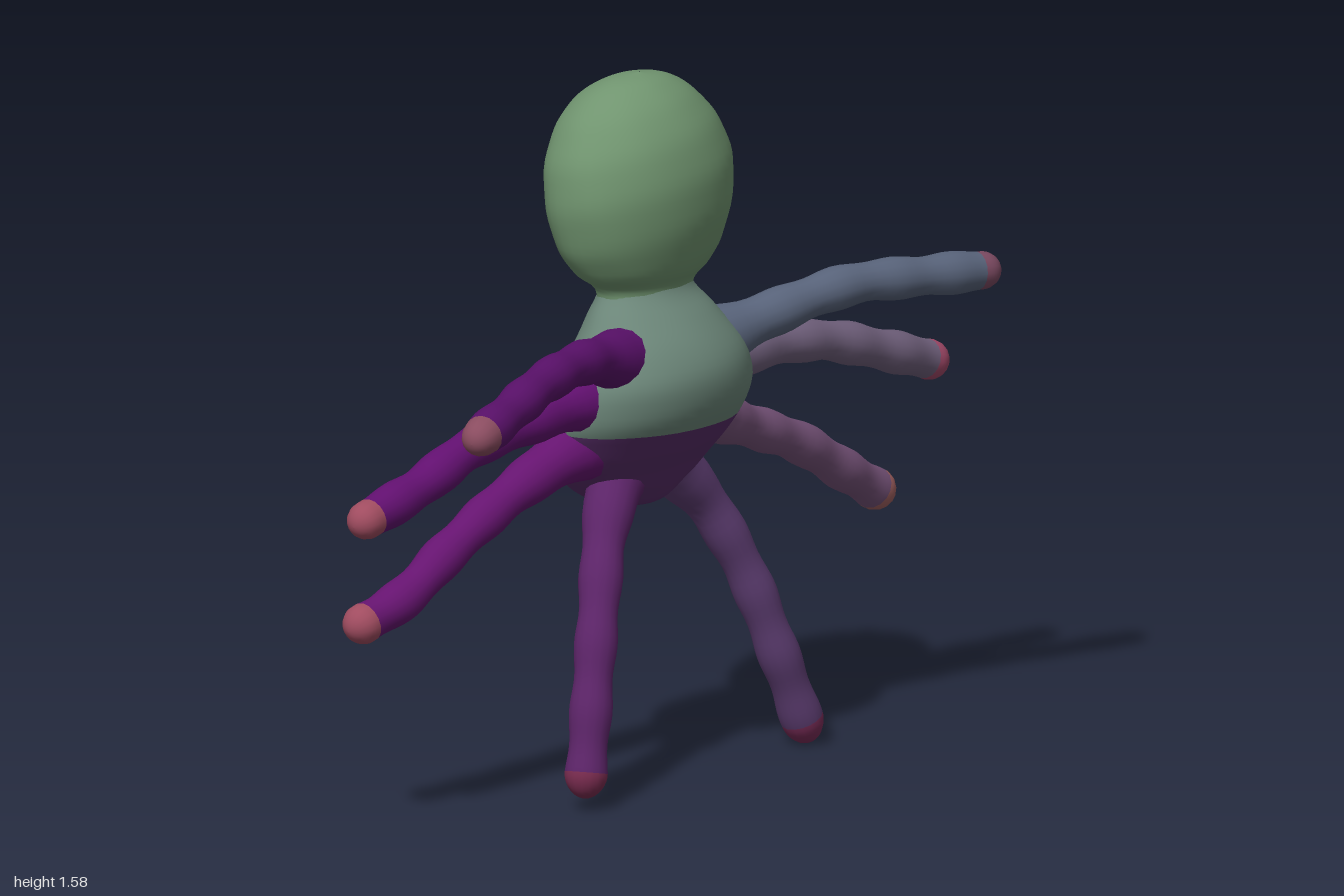
import * as THREE from 'three';

// Closed skin over rings of points; shared vertices keep it smooth
function skin(rings) {
  const cols = rings[0].length, index = [];
  for (let i = 0; i < rings.length - 1; i++) {
    for (let j = 0; j < cols; j++) {
      const a = i * cols + j, b = i * cols + (j + 1) % cols;
      index.push(a, b, a + cols, b, b + cols, a + cols);
    }
  }
  const geo = new THREE.BufferGeometry().setFromPoints(rings.flat());
  geo.setIndex(index);
  geo.computeVertexNormals();
  return geo;
}

// The band of a skin between two fractions of its length
function band(geo, from, to, rings, name, color) {
  const all = Array.from(geo.index.array), step = all.length / (rings - 1);
  const part = geo.clone();
  part.setIndex(all.slice(Math.round(from * (rings - 1)) * step, Math.round(to * (rings - 1)) * step));
  const mesh = new THREE.Mesh(part, new THREE.MeshStandardMaterial({ color }));
  mesh.name = name;
  return mesh;
}

// Upright rounded volume from rows of [y, half width, front z, back z]
const BODY_RINGS = 45;
function bulb(rows) {
  const shape = new THREE.CatmullRomCurve3(rows.map(([y, w, f, b]) => new THREE.Vector3(w, y, (f - b) / 2)));
  const middle = new THREE.CatmullRomCurve3(rows.map(([y, , f, b]) => new THREE.Vector3(0, y, (f + b) / 2)));
  const rings = [];
  for (let i = 0; i < BODY_RINGS; i++) {
    const t = i / (BODY_RINGS - 1), s = shape.getPoint(t), c = middle.getPoint(t), ring = [];
    for (let j = 0; j < 40; j++) {
      const a = j / 40 * Math.PI * 2;
      const lump = 1 + 0.008 * Math.sin(3 * a + i * 0.7) * Math.sin(5 * a - i * 0.4);
      ring.push(new THREE.Vector3(s.x * Math.sin(a) * lump, s.y, c.z + s.z * Math.cos(a) * lump));
    }
    rings.push(ring);
  }
  return skin(rings);
}

// Lumpy limb with a flared root and a rounded tip
const LEG_RINGS = 49;
function limb(points, phase) {
  const path = new THREE.CatmullRomCurve3(points.map(p => new THREE.Vector3(...p)));
  const length = path.getLength(), frames = path.computeFrenetFrames(200), rings = [];
  for (let i = 0; i < LEG_RINGS; i++) {
    const u = Math.sin(i / (LEG_RINGS - 1) * Math.PI / 2), left = (1 - u) * length;
    const k = Math.round(u * 200), c = path.getPointAt(u);
    let r = 0.046 + 0.035 * Math.exp(-u * 9) + 0.003 * Math.sin(u * 32 + phase);
    const q = Math.min(1, left / (r * 1.2));
    r *= Math.sqrt(Math.max(1e-5, 1 - (1 - q) ** 2));
    const ring = [];
    for (let j = 0; j < 16; j++) {
      const a = j / 16 * Math.PI * 2;
      ring.push(c.clone().addScaledVector(frames.normals[k], r * Math.cos(a))
        .addScaledVector(frames.binormals[k], r * Math.sin(a)));
    }
    rings.push(ring);
  }
  return skin(rings);
}

export function createModel() {
  const model = new THREE.Group();
  model.name = 'octopus';

  // Egg-shaped head, narrowing to the neck
  const head = bulb([
    [1.06, 0.13, 0.04, -0.13], [1.11, 0.135, 0.035, -0.14], [1.15, 0.185, 0.06, -0.18],
    [1.21, 0.225, 0.085, -0.215], [1.3, 0.249, 0.105, -0.238], [1.39, 0.244, 0.104, -0.245],
    [1.47, 0.208, 0.08, -0.23], [1.53, 0.155, 0.04, -0.195], [1.57, 0.085, -0.01, -0.135],
    [1.585, 0.001, -0.065, -0.067]]);
  model.add(band(head, 0, 1, BODY_RINGS, 'head', 0x70946f));

  // Body leaning backward toward its underside
  const torso = bulb([
    [0.605, 0.001, -0.099, -0.101], [0.615, 0.08, -0.03, -0.17], [0.65, 0.145, 0.005, -0.215],
    [0.7, 0.2, 0.04, -0.238], [0.77, 0.245, 0.095, -0.242], [0.84, 0.266, 0.14, -0.225],
    [0.91, 0.255, 0.158, -0.2], [0.98, 0.22, 0.14, -0.175], [1.05, 0.17, 0.085, -0.15],
    [1.1, 0.13, 0.04, -0.135], [1.13, 0.12, 0.03, -0.135]]);
  model.add(band(torso, 0, 0.46, BODY_RINGS, 'belly', 0x562c66));
  model.add(band(torso, 0.46, 1, BODY_RINGS, 'chest', 0x6b8578));

  // Eight legs: name, colour, tip colour, path
  const legs = [
    ['leftUpperLeg', 0x58637a, 0x7c4a62,
      [[0.15, 0.96, 0.01], [0.3, 1.0, 0.055], [0.5, 1.038, 0.11], [0.7, 1.032, 0.165], [0.895, 1.02, 0.212]]],
    ['leftMiddleLeg', 0x70607c, 0xa04868,
      [[0.2, 0.88, -0.06], [0.4, 0.892, -0.055], [0.6, 0.872, -0.045], [0.8, 0.815, -0.035], [0.998, 0.752, -0.037]]],
    ['leftLowerLeg', 0x755278, 0xa06060,
      [[0.2, 0.78, -0.07], [0.4, 0.708, -0.1], [0.6, 0.63, -0.115], [0.76, 0.54, -0.125], [0.935, 0.445, -0.145]]],
    ['leftFootLeg', 0x5c3c70, 0x7a2c58,
      [[0.08, 0.7, -0.07], [0.19, 0.59, -0.045], [0.285, 0.42, -0.005], [0.36, 0.22, 0.03], [0.453, 0.005, 0.042]]],
    ['rightUpperLeg', 0x581068, 0x8a4c60,
      [[-0.15, 0.97, 0.01], [-0.35, 1.01, 0.07], [-0.55, 1.008, 0.125], [-0.74, 0.975, 0.175], [-0.905, 0.945, 0.215]]],
    ['rightMiddleLeg', 0x621070, 0xa04c60,
      [[-0.2, 0.89, -0.04], [-0.4, 0.87, -0.04], [-0.6, 0.845, -0.042], [-0.78, 0.785, -0.045], [-1.0, 0.735, -0.045]]],
    ['rightLowerLeg', 0x661470, 0xa04c60,
      [[-0.2, 0.77, -0.08], [-0.4, 0.69, -0.105], [-0.58, 0.595, -0.125], [-0.72, 0.51, -0.14], [-0.885, 0.46, -0.158]]],
    ['rightFootLeg', 0x5c2468, 0x7a2c50,
      [[-0.08, 0.7, -0.06], [-0.17, 0.59, -0.02], [-0.26, 0.42, 0.035], [-0.325, 0.23, 0.07], [-0.375, 0.03, 0.092]]],
  ];
  legs.forEach(([name, color, tipColor, path], n) => {
    const geo = limb(path, n * 1.3), leg = new THREE.Group();
    leg.name = name;
    leg.add(band(geo, 0, 0.75, LEG_RINGS, 'legShaft', color));
    leg.add(band(geo, 0.75, 1, LEG_RINGS, 'legTip', tipColor));
    model.add(leg);
  });
  return model;
}
